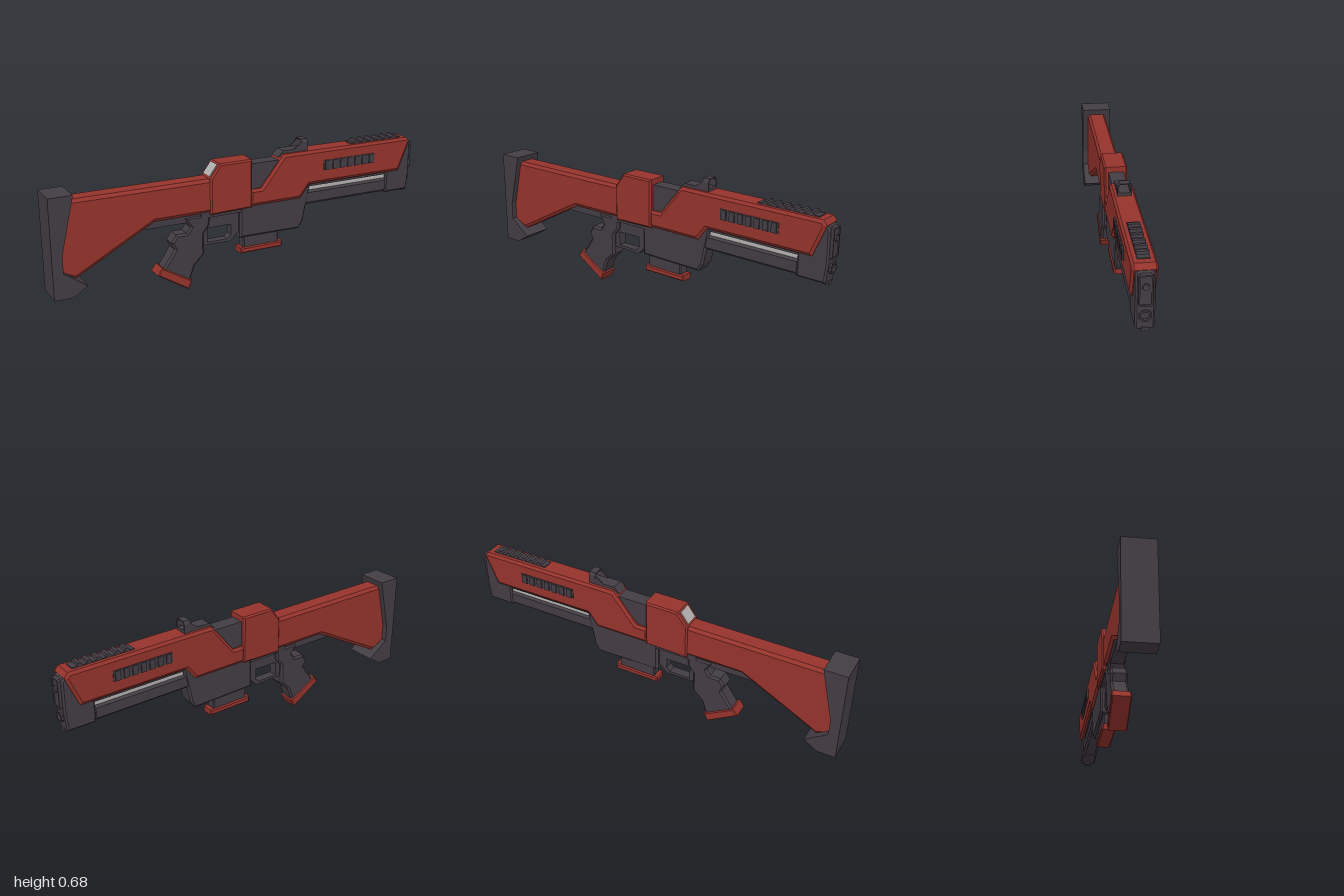
import * as THREE from 'three';

const mat = (name, color) => Object.assign(new THREE.MeshStandardMaterial({ color }), { name });

export function createModel() {
  const red = mat('red shell', 0x96332c);
  const dark = mat('dark polymer', 0x433d44);
  const light = mat('light metal', 0xb5b3b1);
  const model = new THREE.Group();
  model.name = 'rifle';

  const add = (name, geometry, material) => {
    const mesh = new THREE.Mesh(geometry, material);
    mesh.name = name;
    model.add(mesh);
    return mesh;
  };
  const toShape = (pts) => new THREE.Shape(pts.map(([x, y]) => new THREE.Vector2(x, y)));

  // Chamfered slab: side profile extruded across z, keeping its outline
  const slab = (name, pts, half, material, bevel = 0, bevelDepth = bevel, hole) => {
    const shape = toShape(pts);
    if (hole) shape.holes.push(toShape(hole));
    const geo = new THREE.ExtrudeGeometry(shape, {
      depth: 2 * (half - bevelDepth), bevelEnabled: bevel > 0, bevelSegments: 1,
      bevelSize: bevel, bevelThickness: bevelDepth, bevelOffset: -bevel,
    });
    geo.translate(0, 0, -(half - bevelDepth));
    return add(name, geo, material);
  };
  // Front profile (z, y) extruded along x from x0 to x1
  const plate = (name, pts, x0, x1, material, hole) => {
    const shape = toShape(pts);
    if (hole) shape.holes.push(toShape(hole));
    const geo = new THREE.ExtrudeGeometry(shape, { depth: x1 - x0, bevelEnabled: false });
    geo.rotateY(Math.PI / 2).translate(x0, 0, 0);
    return add(name, geo, material);
  };
  const box = (name, x0, x1, y0, y1, z0, z1, material) => add(name,
    new THREE.BoxGeometry(x1 - x0, y1 - y0, z1 - z0)
      .translate((x0 + x1) / 2, (y0 + y1) / 2, (z0 + z1) / 2), material);
  // Rectangle with cut corners
  const cutRect = (w, y0, y1, c) => [[-w + c, y0], [w - c, y0], [w, y0 + c], [w, y1 - c],
    [w - c, y1], [-w + c, y1], [-w, y1 - c], [-w, y0 + c]];
  const octagon = (r, y) => Array.from({ length: 8 }, (_, i) => {
    const a = (i + 0.5) * Math.PI / 4;
    return [r * Math.cos(a), y + r * Math.sin(a)];
  });

  // Shoulder stock
  slab('buttPad', [[-1, 0.09], [-0.91, 0.09], [-0.84, 0.135], [-0.95, 0.215], [-0.95, 0.3],
    [-0.885, 0.575], [-1, 0.575]], 0.077, dark);
  slab('stock', [[-0.97, 0.2], [-0.885, 0.163], [-0.49, 0.375], [-0.15, 0.375], [-0.15, 0.545],
    [-0.97, 0.545]], 0.048, red, 0.016, 0.012);
  slab('stockUnderside', [[-0.57, 0.345], [-0.53, 0.34], [-0.2, 0.34], [-0.2, 0.39], [-0.53, 0.39]],
    0.032, dark);

  // Receiver hump with rear lens
  slab('receiverHump', [[-0.205, 0.365], [0.02, 0.37], [0.02, 0.615], [-0.153, 0.615],
    [-0.205, 0.545]], 0.056, red, 0.008);
  const lens = box('rearLens', -0.034, 0.034, -0.003, 0.003, -0.036, 0.036, light);
  lens.rotation.z = Math.atan2(0.07, 0.052);
  lens.position.set(-0.18, 0.581, 0);

  // Upper receiver and cover
  box('innerCore', 0, 0.3, 0.4, 0.588, -0.036, 0.036, dark);
  slab('upperCover', [[0.01, 0.375], [0.3, 0.375], [0.35, 0.44], [0.905, 0.44], [0.968, 0.592],
    [0.95, 0.615], [0.2, 0.615], [0.075, 0.46], [0.01, 0.46]], 0.054, red, 0.014, 0.01);

  // Lower receiver, fore-end and bright rod
  slab('lowerReceiver', [[-0.04, 0.215], [0.3, 0.21], [0.325, 0.25], [0.365, 0.45], [-0.04, 0.45]],
    0.042, dark, 0.01);
  box('receiverBridge', -0.25, -0.02, 0.35, 0.385, -0.04, 0.04, dark);
  slab('foreEnd', [[0.3, 0.33], [0.84, 0.33], [0.84, 0.405], [0.3, 0.405]], 0.038, dark, 0.012);
  box('brightRod', 0.33, 0.84, 0.4, 0.43, -0.027, 0.027, light);
  box('rodCore', 0.33, 0.84, 0.425, 0.46, -0.034, 0.034, dark);

  // Front block and muzzle
  slab('frontBlock', [[0.83, 0.325], [0.972, 0.325], [0.982, 0.42], [0.98, 0.575], [0.965, 0.592],
    [0.83, 0.592]], 0.041, dark, 0.008);
  plate('frontPanel', cutRect(0.029, 0.44, 0.582, 0.006), 0.97, 0.994, dark,
    cutRect(0.023, 0.447, 0.575, 0.003));
  plate('frontPanelInset', cutRect(0.025, 0.445, 0.577, 0.003), 0.97, 0.989, dark);
  plate('sensorBoss', octagon(0.015, 0.53), 0.97, 1, dark);
  plate('muzzleRing', octagon(0.027, 0.392), 0.96, 0.99, dark, octagon(0.02, 0.392));
  box('lowerCatch', 0.95, 0.978, 0.314, 0.33, -0.016, 0.016, dark);

  // Side vents with ribs, and top rail
  for (const s of [-1, 1]) {
    const vent = (name, x0, x1, y0, y1, z) => box(name, x0, x1, y0, y1,
      Math.min(s * 0.045, s * z), Math.max(s * 0.045, s * z), dark);
    vent('sideVent', 0.43, 0.74, 0.506, 0.558, 0.057);
    for (let i = 0; i < 7; i++) {
      const x = 0.438 + i * 0.0445;
      vent('ventRib', x, x + 0.027, 0.508, 0.556, 0.063);
    }
  }
  box('topRail', 0.61, 0.92, 0.6, 0.62, -0.027, 0.027, dark);
  for (let i = 0; i < 6; i++) {
    const x = 0.645 + i * 0.047;
    slab('railRib', [[x - 0.014, 0.615], [x + 0.014, 0.615], [x + 0.01, 0.632], [x - 0.006, 0.632]],
      0.027, dark);
  }

  // Sight: base, sloped side walls and an open frame
  slab('sightBase', [[0.175, 0.6], [0.345, 0.6], [0.345, 0.63], [0.205, 0.63]], 0.031, dark);
  for (const s of [-1, 1]) {
    slab('sightWall', [[0.265, 0.625], [0.33, 0.625], [0.33, 0.66], [0.31, 0.66]], 0.003, dark)
      .position.z = s * 0.028;
  }
  plate('sightFrame', [[-0.032, 0.615], [0.032, 0.615], [0.032, 0.66], [0.024, 0.675],
    [-0.024, 0.675], [-0.032, 0.66]], 0.31, 0.345, dark,
  [[-0.026, 0.63], [0.026, 0.63], [0.026, 0.657], [0.021, 0.67], [-0.021, 0.67], [-0.026, 0.657]]);

  // Trigger guard and grip
  slab('triggerGuard', [[-0.25, 0.205], [-0.085, 0.202], [-0.035, 0.25], [-0.035, 0.36],
    [-0.25, 0.36]], 0.022, dark, 0, 0,
  [[-0.21, 0.217], [-0.1, 0.217], [-0.082, 0.235], [-0.082, 0.29], [-0.21, 0.29]]);
  slab('grip', [[-0.455, 0.12], [-0.39, 0.215], [-0.405, 0.25], [-0.38, 0.288], [-0.325, 0.287],
    [-0.305, 0.315], [-0.335, 0.365], [-0.2, 0.365], [-0.205, 0.31], [-0.235, 0.27], [-0.235, 0.165],
    [-0.285, 0.115], [-0.315, 0.035]], 0.04, dark, 0.01);
  slab('gripCap', [[-0.484, 0.1], [-0.325, 0], [-0.303, 0.042], [-0.46, 0.135]], 0.045, red, 0.005);

  // Magazine
  slab('magazine', [[-0.015, 0.15], [0.185, 0.15], [0.185, 0.225], [-0.015, 0.225]],
    0.027, dark, 0.006);
  slab('magazineBase', [[-0.033, 0.128], [0.205, 0.128], [0.205, 0.158], [-0.033, 0.158]],
    0.034, red, 0.006);
  return model;
}
